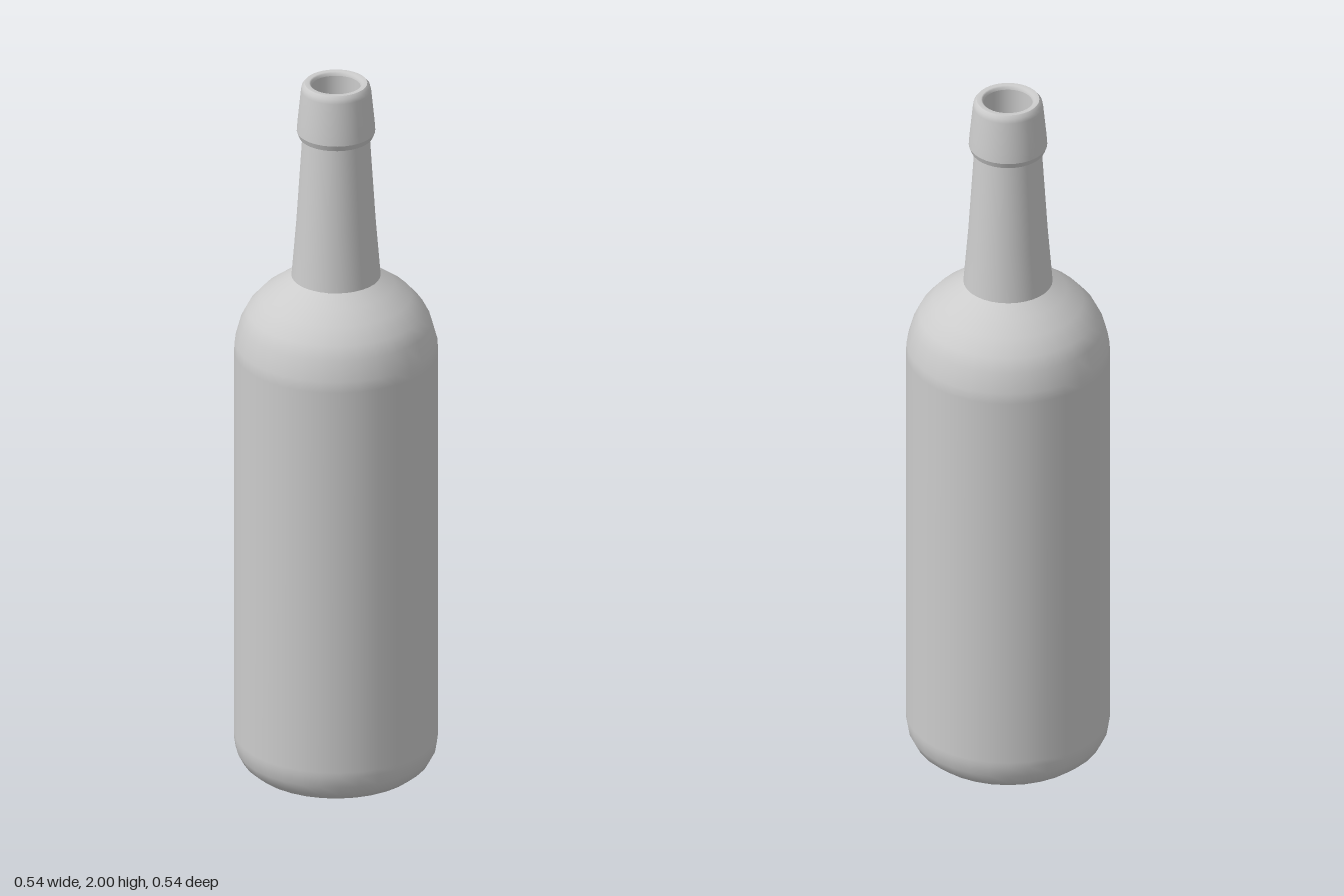
import * as THREE from 'three';

const SIDES = 32;

export function createModel() {
  const bottle = new THREE.Group();
  bottle.name = 'bottle';
  const material = new THREE.MeshStandardMaterial({ color: 0xcccccc });

  // Each section is turned from [radius, height] points; separate sections keep crisp edges.
  const turn = (name, points) => {
    const profile = points.map(([r, y]) => new THREE.Vector2(r, y));
    const mesh = new THREE.Mesh(new THREE.LatheGeometry(profile, SIDES), material);
    mesh.name = name;
    bottle.add(mesh);
  };

  // Hollow cone under the base
  turn('punt', [[0, 0.07], [0.05, 0.057], [0.18, 0.005]]);
  turn('footRing', [[0.18, 0.005], [0.187, 0]]);

  // Rounded heel, straight wall and domed shoulder
  turn('body', [
    [0.187, 0], [0.225, 0.015], [0.25, 0.036], [0.265, 0.065], [0.27, 0.095],
    [0.27, 0.11], [0.27, 1.22], [0.268, 1.25], [0.253, 1.305], [0.235, 1.34],
    [0.2, 1.38], [0.155, 1.413], [0.115, 1.44],
  ]);

  // Tapered neck with a small step at the shoulder
  turn('neckStep', [[0.112, 1.437], [0.118, 1.44]]);
  turn('neck', [[0.118, 1.44], [0.105, 1.6], [0.089, 1.85]]);

  // Collar around the mouth
  turn('collarUnderside', [[0.089, 1.846], [0.098, 1.846]]);
  turn('collarLip', [[0.098, 1.846], [0.104, 1.862]]);
  turn('collar', [
    [0.104, 1.862], [0.102, 1.89], [0.093, 1.98], [0.09, 1.992], [0.083, 2],
  ]);
  turn('rim', [[0.083, 2], [0.071, 2], [0.067, 1.997], [0.065, 1.99]]);

  // Inside of the mouth
  turn('bore', [[0.065, 1.99], [0.065, 1.8]]);
  turn('boreFloor', [[0.065, 1.8], [0, 1.8]]);

  return bottle;
}
